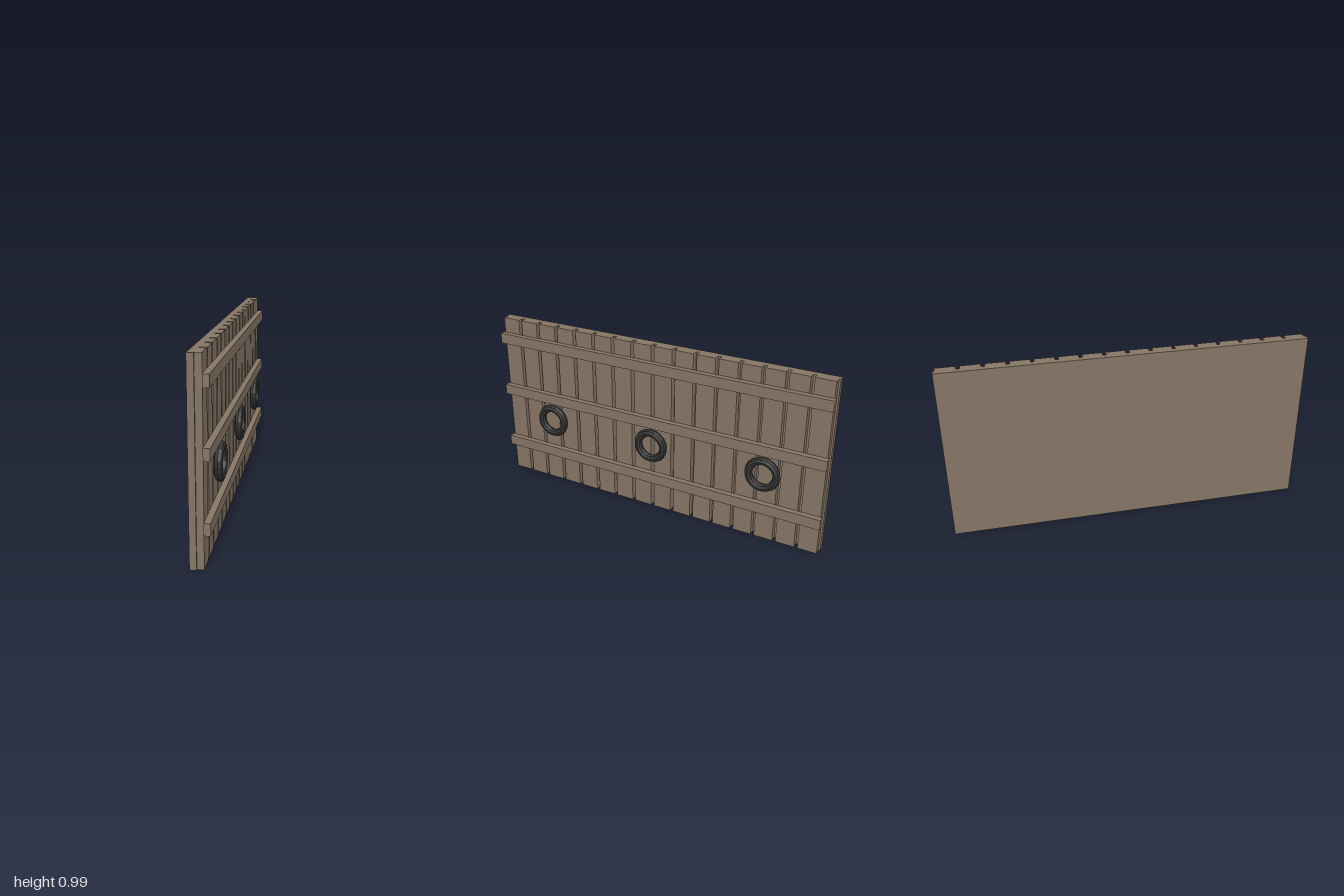
import * as THREE from 'three';

const HEIGHT = 0.99;
const LENGTH = 2;

export function createModel() {
  const wall = new THREE.Group();
  wall.name = 'plankWall';

  const wood = new THREE.MeshStandardMaterial({ color: 0x857565 });
  wood.name = 'weathered wood';
  const rubber = new THREE.MeshStandardMaterial({ color: 0x333333, flatShading: true });
  rubber.name = 'dark rubber';

  const add = (name, geometry, material, x, y, z) => {
    const mesh = new THREE.Mesh(geometry, material);
    mesh.name = name;
    mesh.position.set(x, y, z);
    wall.add(mesh);
    return mesh;
  };

  // Solid backing sheet
  add('backPanel', new THREE.BoxGeometry(0.033, HEIGHT, LENGTH), wood, -0.0405, HEIGHT / 2, 0);

  // Upright planks with narrow gaps
  const plankCount = 16;
  const pitch = LENGTH / plankCount;
  const plank = new THREE.BoxGeometry(0.034, HEIGHT, pitch - 0.019);
  for (let i = 0; i < plankCount; i++) {
    add('plank', plank, wood, -0.007, HEIGHT / 2, -LENGTH / 2 + (i + 0.5) * pitch);
  }

  // Horizontal rails across the planks
  const rail = new THREE.BoxGeometry(0.032, 0.06, LENGTH);
  for (const y of [0.2, 0.546, 0.872]) add('rail', rail, wood, 0.026, y, 0);

  // Tyres hung flat against the planks
  const tyre = new THREE.TorusGeometry(0.0785, 0.0215, 8, 20);
  tyre.rotateY(Math.PI / 2);
  for (const z of [-0.666, 0, 0.666]) add('tyre', tyre, rubber, 0.033, 0.406, z);

  return wall;
}
